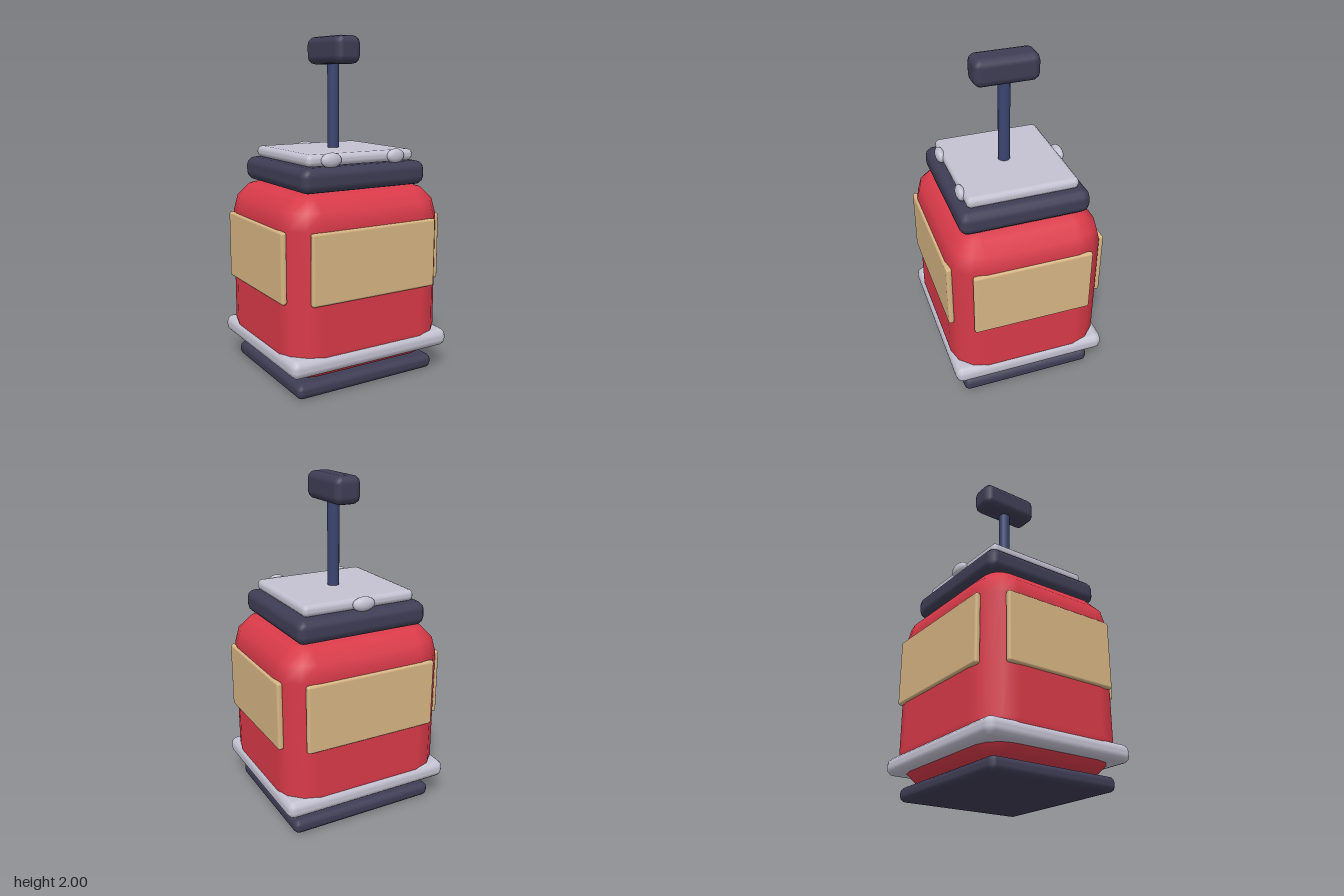
import * as THREE from 'three';

const mat = (name, color) => new THREE.MeshStandardMaterial({ name, color });

// Rounded box: a sphere grid pulled apart at its equator, poles and quadrant seams.
function softBox(w, h, d, r, steps = 3) {
  const core = [w / 2 - r, h / 2 - r, d / 2 - r];
  const pos = [], nor = [], idx = [];
  const cols = 4 * (steps + 1), rows = 2 * (steps + 1);
  for (let i = 0; i < rows; i++) {
    const upper = i > steps;
    const lat = (upper ? (i - steps - 1) / steps : i / steps - 1) * Math.PI / 2;
    for (let j = 0; j < cols; j++) {
      const q = Math.floor(j / (steps + 1));
      const lon = (q + (j % (steps + 1)) / steps) * Math.PI / 2;
      const n = [Math.cos(lat) * Math.cos(lon), Math.sin(lat), Math.cos(lat) * Math.sin(lon)];
      const s = [q === 0 || q === 3 ? 1 : -1, upper ? 1 : -1, q < 2 ? 1 : -1];
      nor.push(...n);
      pos.push(...n.map((v, k) => v * r + s[k] * core[k]));
    }
  }
  for (let i = 0; i < rows - 1; i++) {
    for (let j = 0; j < cols; j++) {
      const a = i * cols + j, b = i * cols + (j + 1) % cols;
      idx.push(a, a + cols, b, b, a + cols, b + cols);
    }
  }
  // Flat bottom and top between the four corner poles
  const k = steps + 1, t = (rows - 1) * cols;
  idx.push(0, k, 2 * k, 0, 2 * k, 3 * k);
  idx.push(t, t + 2 * k, t + k, t, t + 3 * k, t + 2 * k);
  const g = new THREE.BufferGeometry();
  g.setAttribute('position', new THREE.Float32BufferAttribute(pos, 3));
  g.setAttribute('normal', new THREE.Float32BufferAttribute(nor, 3));
  g.setIndex(idx);
  return g;
}

export function createModel() {
  const group = new THREE.Group();
  const red = mat('red paint', 0xd93a49);
  const tan = mat('tan panel', 0xd8b684);
  const silver = mat('silver', 0xc4c2d1);
  const dark = mat('dark rubber', 0x3f3d55);
  const blue = mat('blue steel', 0x3a4570);

  const add = (name, geometry, material, x, y, z) => {
    const mesh = new THREE.Mesh(geometry, material);
    mesh.name = name;
    mesh.position.set(x, y, z);
    group.add(mesh);
    return mesh;
  };
  // Box given by its half width, bottom, top and half depth
  const slab = (name, material, hx, y0, y1, hz, r) =>
    add(name, softBox(hx * 2, y1 - y0, hz * 2, r), material, 0, (y0 + y1) / 2, 0);

  // Stacked body
  slab('base', dark, 0.465, 0, 0.085, 0.41, 0.035);
  slab('body', red, 0.52, 0.08, 1.15, 0.463, 0.19);
  slab('bumper', silver, 0.53, 0.153, 0.258, 0.475, 0.045);
  slab('collar', dark, 0.41, 1.145, 1.285, 0.383, 0.05);
  slab('lid', silver, 0.355, 1.285, 1.353, 0.328, 0.03);

  // Panels on the four sides
  for (const s of [1, -1]) {
    add(s > 0 ? 'frontPanel' : 'backPanel', softBox(0.82, 0.405, 0.034, 0.014), tan, 0, 0.753, s * 0.461);
    add(s > 0 ? 'leftPanel' : 'rightPanel', softBox(0.034, 0.405, 0.71, 0.014), tan, s * 0.517, 0.753, 0);
  }

  // Studs on the rim of the lid: x, z, half width, half depth
  for (const [x, z, hx, hz] of [[-0.21, 0.33, 0.065, 0.028], [0.22, 0.33, 0.058, 0.026], [-0.01, -0.337, 0.07, 0.033]]) {
    add('stud', new THREE.SphereGeometry(1, 16, 10), silver, x, 1.32, z).scale.set(hx, 0.042, hz);
  }

  // Plunger
  add('rod', new THREE.CylinderGeometry(0.035, 0.035, 0.62, 16), blue, 0, 1.56, 0);
  slab('handle', dark, 0.083, 1.84, 2, 0.19, 0.045);
  return group;
}
